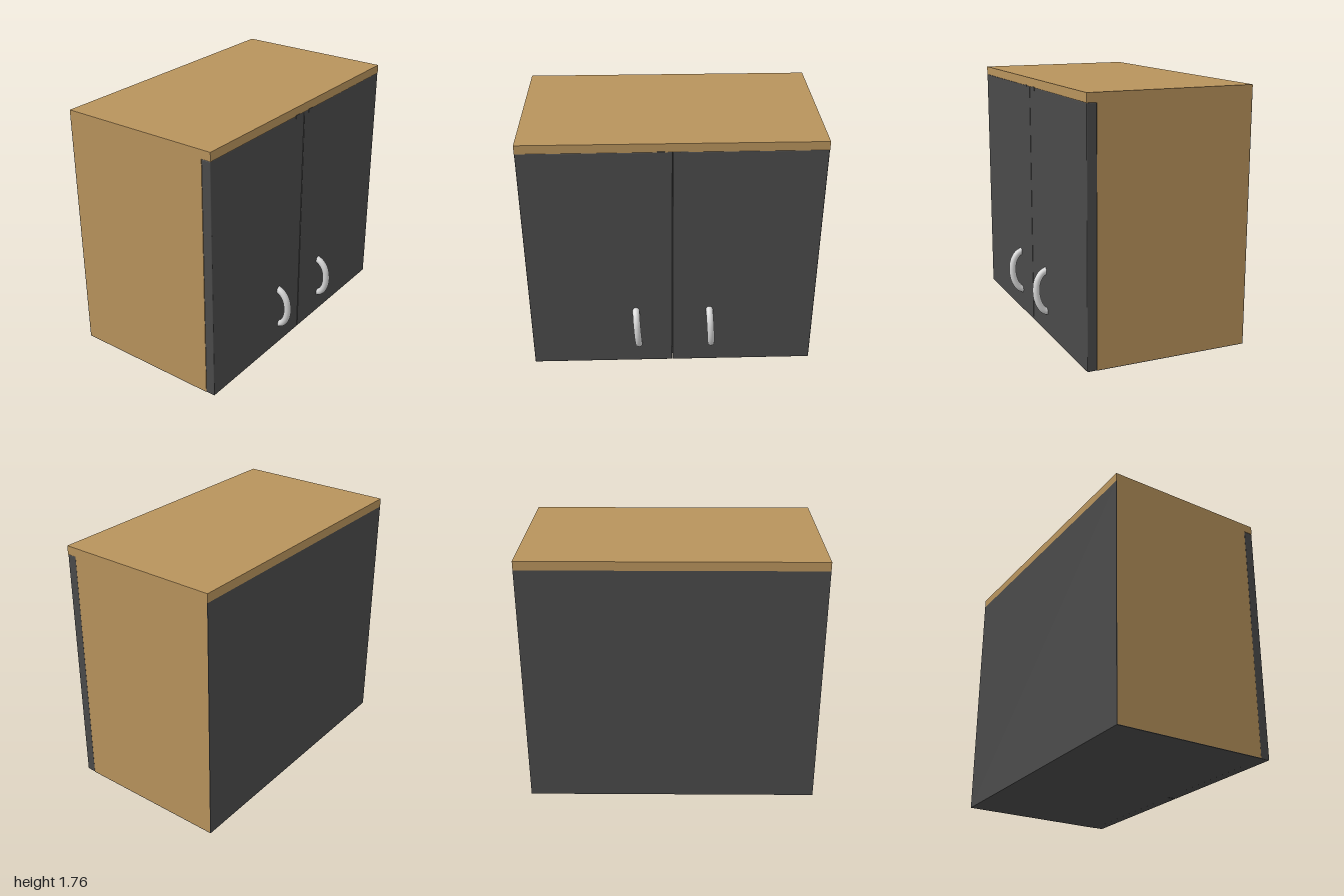
import * as THREE from 'three';
import { RoundedBoxGeometry } from 'three/addons/geometries/RoundedBoxGeometry.js';

export function createModel() {
  const wood = new THREE.MeshStandardMaterial({ name: 'wood', color: 0xb8935c });
  const charcoal = new THREE.MeshStandardMaterial({ name: 'charcoal', color: 0x4a4a4a });
  const metal = new THREE.MeshStandardMaterial({ name: 'metal', color: 0xd8d8d8 });

  const cabinet = new THREE.Group();
  cabinet.name = 'wallCabinet';

  // Adds a board given its extents along each axis; radius softens its edges
  function board(name, material, [x0, x1], [y0, y1], [z0, z1], radius = 0) {
    const size = [x1 - x0, y1 - y0, z1 - z0];
    const geometry = radius
      ? new RoundedBoxGeometry(...size, 2, radius)
      : new THREE.BoxGeometry(...size);
    const mesh = new THREE.Mesh(geometry, material);
    mesh.name = name;
    mesh.position.set((x0 + x1) / 2, (y0 + y1) / 2, (z0 + z1) / 2);
    cabinet.add(mesh);
  }

  const back = -0.625, front = 0.523, doorBack = 0.455, doorTop = 1.7, skin = 0.004;

  // Carcass
  board('topPanel', wood, [back, front], [doorTop, 1.76], [-1, 1]);
  board('backPanel', charcoal, [back, back + skin], [0, doorTop], [-1, 1]);
  board('bottomSkin', charcoal, [back + skin, doorBack], [0, skin], [-1, 1]);
  board('bottomPanel', charcoal, [back + skin, doorBack], [skin, 0.06], [-0.94, 0.94]);

  // Sides and doors, one of each per half
  for (const side of [-1, 1]) {
    const label = side > 0 ? 'left' : 'right';
    const span = (a, b) => [side * a, side * b].sort((p, q) => p - q);
    board(label + 'SidePanel', wood, [back + skin, doorBack], [skin, doorTop], span(0.94, 1));
    board(label + 'Door', charcoal, [doorBack, front], [0, doorTop], span(0.001, 1), 0.006);
    board(label + 'DoorCatch', charcoal, [front - 0.02, front + 0.003], [doorTop - 0.02, doorTop + 0.005], span(0.05, 0.1));
  }

  // Bow handles, each leaning slightly toward -z at the foot
  const bow = [[0.505, 0.458], [0.55, 0.435], [0.582, 0.39], [0.594, 0.335],
    [0.592, 0.27], [0.574, 0.212], [0.545, 0.172], [0.505, 0.153]];
  for (const [name, z] of [['leftHandle', 0.248], ['rightHandle', -0.27]]) {
    const path = new THREE.CatmullRomCurve3(
      bow.map(([x, y]) => new THREE.Vector3(x, y, z + (y - 0.3) * 0.06)));
    const handle = new THREE.Mesh(new THREE.TubeGeometry(path, 40, 0.025, 16), metal);
    handle.name = name;
    cabinet.add(handle);
  }

  return cabinet;
}
